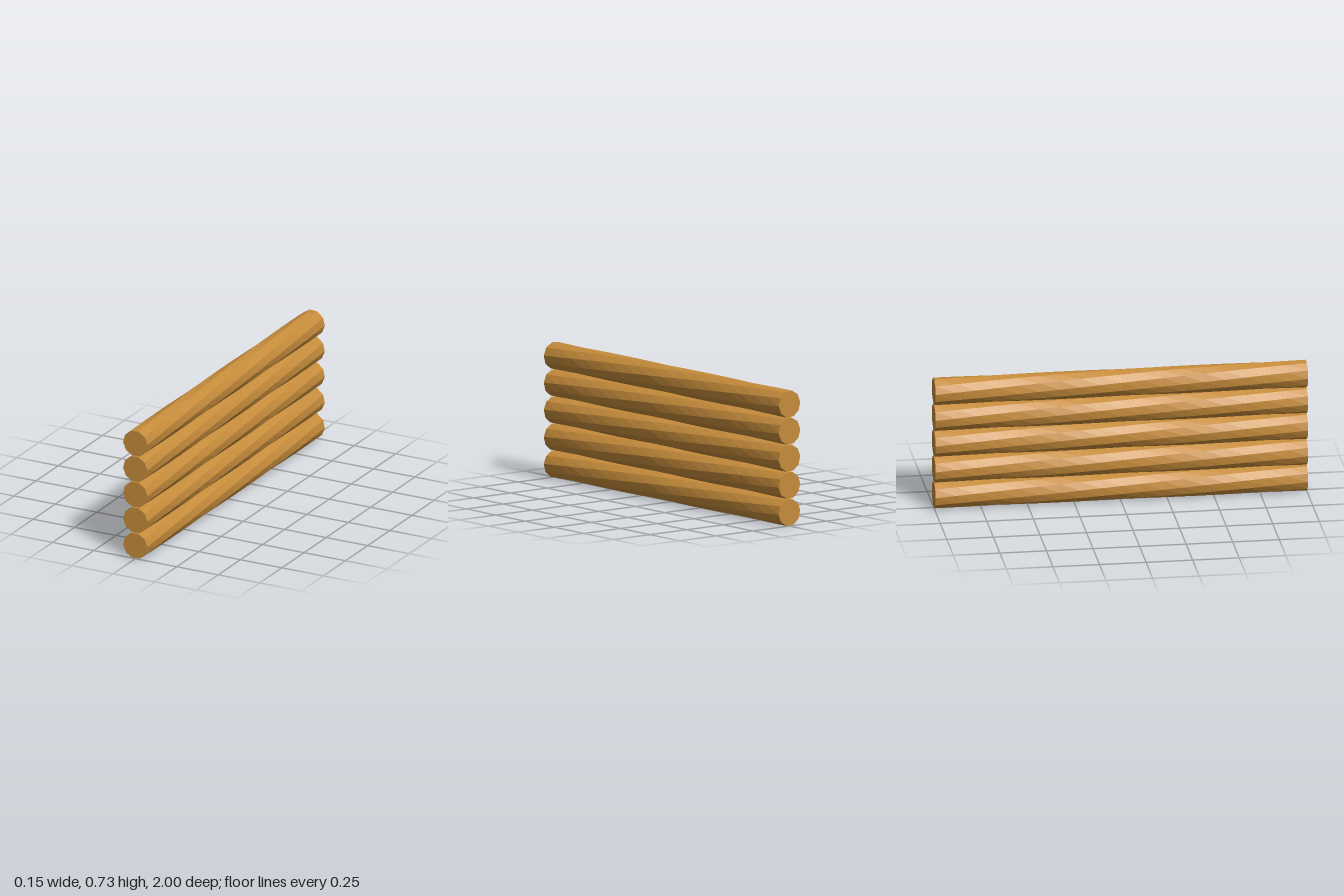
import * as THREE from 'three';

const RADIUS = 0.0735, LENGTH = 2, SPACING = 0.146, COUNT = 5;
const SIDES = 10, SEGMENTS = 18, TWIST = THREE.MathUtils.degToRad(100);

// Faceted log lying along z, its facets spiralling gently from end to end
function twistedLog() {
  const geo = new THREE.CylinderGeometry(RADIUS, RADIUS, LENGTH, SIDES, SEGMENTS);
  geo.rotateX(Math.PI / 2);
  const pos = geo.attributes.position;
  const axis = new THREE.Vector3(0, 0, 1), v = new THREE.Vector3();
  for (let i = 0; i < pos.count; i++) {
    v.fromBufferAttribute(pos, i);
    v.applyAxisAngle(axis, -TWIST * v.z / LENGTH);
    pos.setXYZ(i, v.x, v.y, v.z);
  }
  const flat = geo.toNonIndexed();
  flat.computeVertexNormals();
  return flat;
}

export function createModel() {
  const model = new THREE.Group();
  model.name = 'logWall';
  const wood = new THREE.MeshStandardMaterial({ color: 0xc68c3b });
  wood.name = 'wood';
  const geometry = twistedLog();

  // Logs stacked straight up, each resting on the one below
  for (let i = 0; i < COUNT; i++) {
    const log = new THREE.Mesh(geometry, wood);
    log.name = `log${i + 1}`;
    log.position.y = SPACING * (i + 0.5);
    model.add(log);
  }
  return model;
}
